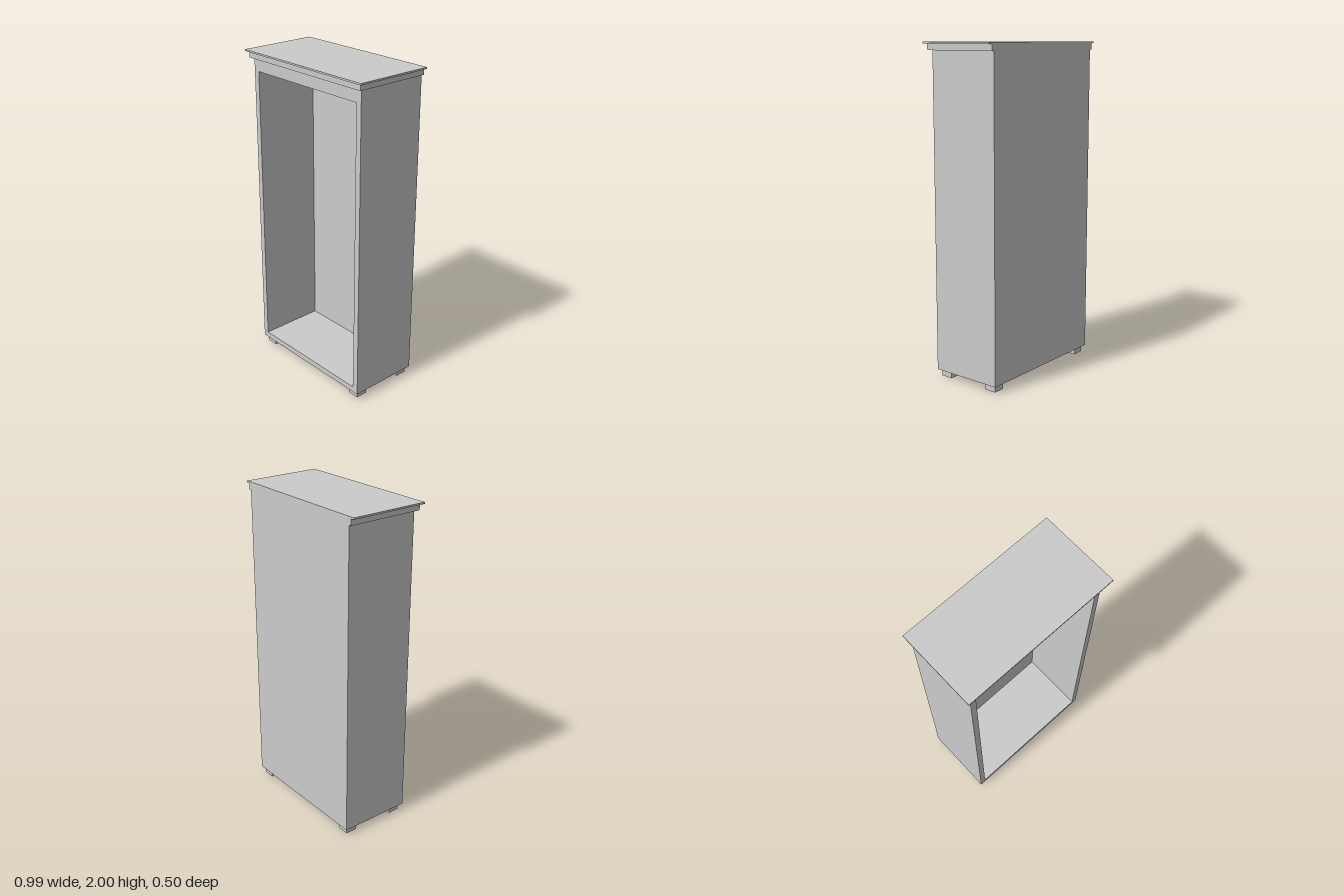
import * as THREE from 'three';

const material = new THREE.MeshStandardMaterial({ color: 0xcccccc });

// Box given by its lower and upper corners
function box(name, [x0, y0, z0], [x1, y1, z1]) {
  const mesh = new THREE.Mesh(new THREE.BoxGeometry(x1 - x0, y1 - y0, z1 - z0), material);
  mesh.position.set((x0 + x1) / 2, (y0 + y1) / 2, (z0 + z1) / 2);
  mesh.name = name;
  return mesh;
}

function rectangle(path, x, y0, y1) {
  path.moveTo(-x, y0);
  path.lineTo(x, y0);
  path.lineTo(x, y1);
  path.lineTo(-x, y1);
  path.closePath();
  return path;
}

export function createModel() {
  const group = new THREE.Group();
  group.name = 'cabinet';
  const back = -0.248, front = 0.208, bottom = 0.042, corniceBottom = 1.953, topBottom = 1.99;
  const backThickness = 0.037;

  // Open carcass: sides, floor and header as one continuous frame
  const outline = rectangle(new THREE.Shape(), 0.458, bottom, corniceBottom);
  outline.holes.push(rectangle(new THREE.Path(), 0.421, 0.078, 1.874));
  const carcass = new THREE.Mesh(
    new THREE.ExtrudeGeometry(outline, { depth: front - back - backThickness, bevelEnabled: false }),
    material
  );
  carcass.position.z = back + backThickness;
  carcass.name = 'carcass';
  group.add(carcass);

  // Back panel closing the carcass
  group.add(box('backPanel', [-0.458, bottom, back], [0.458, corniceBottom, back + backThickness]));

  // Stepped cornice, flush at the back
  group.add(box('cornice', [-0.475, corniceBottom, back], [0.475, topBottom, 0.232]));
  group.add(box('topBoard', [-0.496, topBottom, back], [0.496, 2, 0.248]));

  // Four square feet
  for (const [side, x] of [['left', 0.401], ['right', -0.401]]) {
    for (const [end, z] of [['Front', 0.151], ['Back', -0.193]]) {
      group.add(box(side + end + 'Foot', [x - 0.037, 0, z - 0.037], [x + 0.037, bottom, z + 0.037]));
    }
  }
  return group;
}
